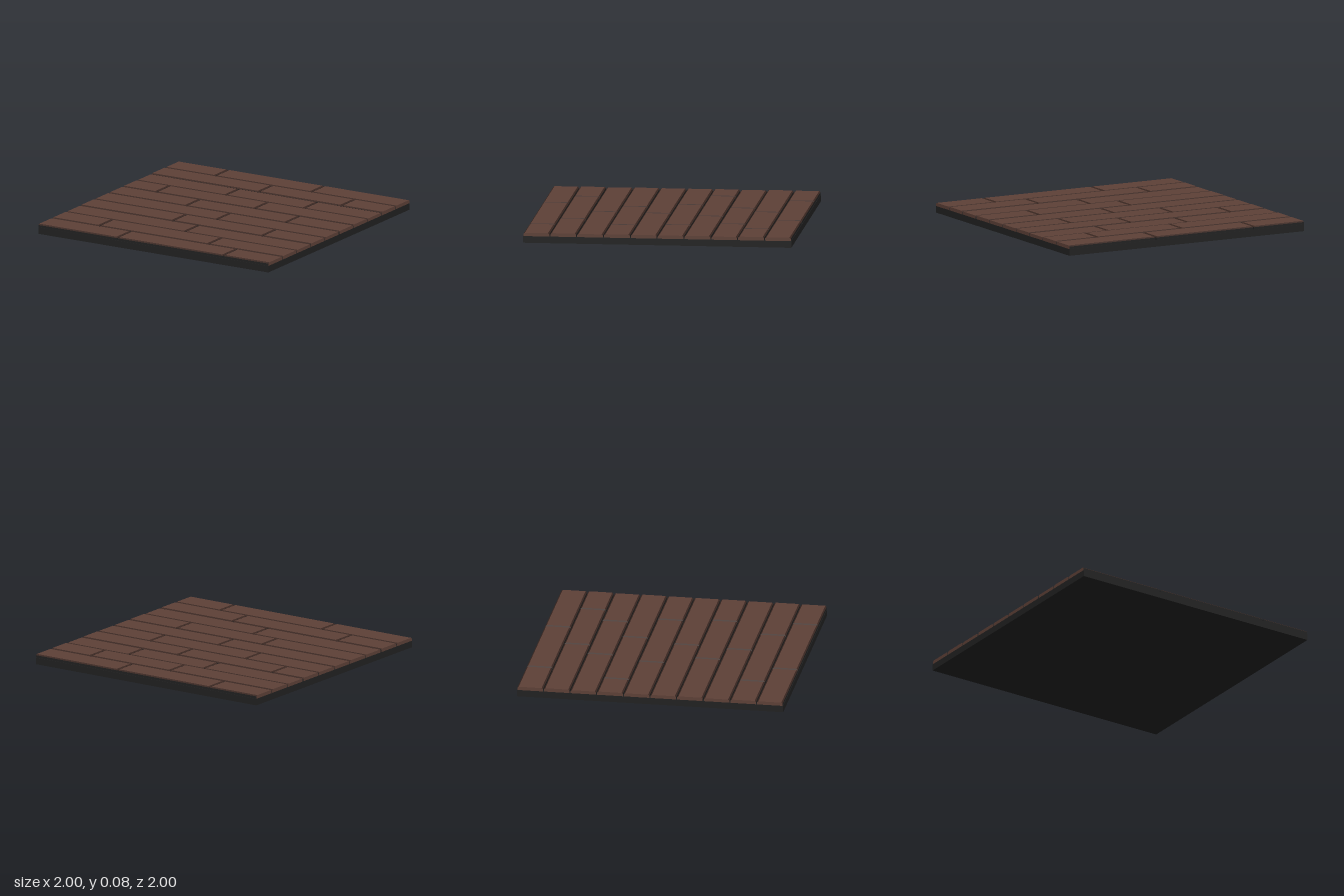
import * as THREE from 'three';

const wood = new THREE.MeshStandardMaterial({ color: 0x5d4037 });
wood.name = 'brown wood';
const edge = new THREE.MeshStandardMaterial({ color: 0x3a2721 });
edge.name = 'dark wood edge';
const black = new THREE.MeshStandardMaterial({ color: 0x212121 });
black.name = 'black base';

const BASE = 0.05, GAP = 0.004, BEVEL = 0.01;

// Plank with bevelled top edges; bevels are left out where it is cut at the floor border
function plankGeometry(x0, x1, z0, z1, top) {
  const left = x0 > -1 ? BEVEL : 0, right = x1 < 1 ? BEVEL : 0;
  const ring = (y, l, r, b) => [
    [x0 + l, y, z1 - b], [x1 - r, y, z1 - b], [x1 - r, y, z0 + b], [x0 + l, y, z0 + b],
  ];
  const low = ring(BASE, 0, 0, 0);
  const mid = ring(top - 0.008, 0, 0, 0);
  const high = ring(top, left, right, BEVEL);

  const pos = [];
  const geo = new THREE.BufferGeometry();
  const quad = (a, b, c, d, material) => {
    geo.addGroup(pos.length / 3, 6, material);
    for (const p of [a, b, c, a, c, d]) pos.push(...p);
  };
  quad(...high, 0);
  for (let i = 0; i < 4; i++) {
    const j = (i + 1) % 4;
    const cut = (i === 1 && !right) || (i === 3 && !left);
    quad(low[i], low[j], mid[j], mid[i], cut ? 0 : 2);
    quad(mid[i], mid[j], high[j], high[i], cut ? 0 : 1);
  }
  geo.setAttribute('position', new THREE.Float32BufferAttribute(pos, 3));
  geo.computeVertexNormals();
  return geo;
}

export function createModel() {
  const floor = new THREE.Group();
  floor.name = 'plankFloor';

  // Base slab
  const base = new THREE.Mesh(new THREE.BoxGeometry(2, BASE, 2), black);
  base.position.y = BASE / 2;
  base.name = 'baseSlab';
  floor.add(base);

  // Joints between planks in each row, from back to front
  const joints = [
    [-0.572, 0.262], [-0.07, 0.648], [-0.235, 0.445], [-0.715, 0.14], [-0.333, 0.533],
    [0.055], [-0.203, 0.575], [0.025], [-0.595, 0.352], [-0.315, 0.605],
  ];
  const tops = [0.076, 0.077, 0.074, 0.076, 0.075, 0.075, 0.076, 0.074, 0.076, 0.075];

  joints.forEach((row, r) => {
    const group = new THREE.Group();
    group.name = `plankRow${r + 1}`;
    const z0 = -1 + r * 0.2 + GAP, z1 = -0.8 + r * 0.2 - GAP;
    const ends = [-1, ...row, 1];
    for (let i = 0; i < ends.length - 1; i++) {
      const x0 = ends[i] + (i > 0 ? GAP : 0);
      const x1 = ends[i + 1] - (i < ends.length - 2 ? GAP : 0);
      const plank = new THREE.Mesh(plankGeometry(x0, x1, z0, z1, tops[r]), [wood, edge, black]);
      plank.name = `plank${i + 1}`;
      group.add(plank);
    }
    floor.add(group);
  });
  return floor;
}
